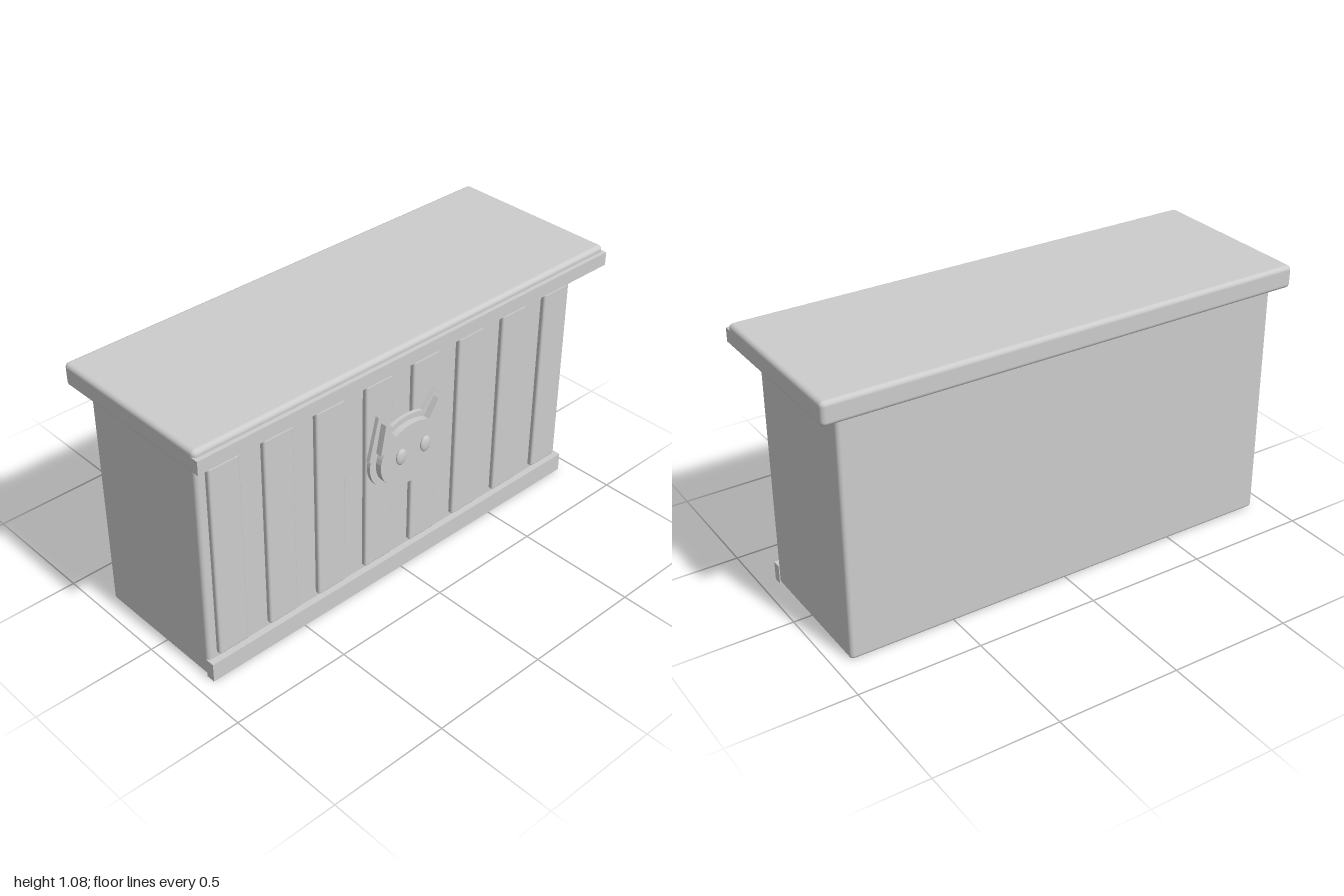
import * as THREE from 'three';
import { RoundedBoxGeometry } from 'three/addons/geometries/RoundedBoxGeometry.js';

export function createModel() {
  const group = new THREE.Group();
  const plainGrey = new THREE.MeshStandardMaterial({ color: 0xcccccc });
  plainGrey.name = 'plainGrey';

  const add = (name, geometry, x = 0, y = 0, z = 0) => {
    const mesh = new THREE.Mesh(geometry, plainGrey);
    mesh.name = name;
    mesh.position.set(x, y, z);
    group.add(mesh);
    return mesh;
  };

  // Box given by its y and z ranges; a radius rounds its edges
  const block = (name, x, width, y0, y1, z0, z1, radius = 0) => {
    const size = [width, y1 - y0, z1 - z0];
    const geometry = radius
      ? new RoundedBoxGeometry(...size, 4, radius)
      : new THREE.BoxGeometry(...size);
    return add(name, geometry, x, (y0 + y1) / 2, (z0 + z1) / 2);
  };

  // Counter body, worktop and straight trims
  block('counterBody', 0, 1.865, 0.002, 0.995, -0.325, 0.26, 0.016);
  block('worktop', 0, 2, 0.988, 1.08, -0.365, 0.352, 0.018);
  block('worktopTrim', 0, 2, 1.0, 1.055, 0.33, 0.369);
  block('baseTrim', 0, 1.87, 0, 0.08, 0.25, 0.287);

  // Eight raised slats across the front
  for (let i = 0; i < 8; i++) {
    block('frontSlat', (i - 3.5) * 0.2364, 0.133, 0.097, 0.921, 0.245, 0.28, 0.009);
  }

  // Cat head outline: an oval with an ear on each side
  const catPlate = (name, rx, ry, earLow, earTip, earTop, z, depth) => {
    const cy = 0.575;
    const onOval = (a) => new THREE.Vector2(rx * Math.cos(a), cy + ry * Math.sin(a));
    const mirror = ([x, y]) => new THREE.Vector2(-x, y);
    const low = Math.asin((earLow[1] - cy) / ry);
    const top = Math.acos(earTop[0] / rx);
    const points = [];
    // Crown between the ears
    for (let i = 0; i <= 8; i++) points.push(onOval(top + (Math.PI - 2 * top) * i / 8));
    points.push(mirror(earTip), mirror(earLow));
    // Cheeks and chin
    for (let i = 0; i <= 24; i++) points.push(onOval(Math.PI - low + (Math.PI + 2 * low) * i / 24));
    points.push(new THREE.Vector2(...earLow), new THREE.Vector2(...earTip));
    const geometry = new THREE.ExtrudeGeometry(new THREE.Shape(points), { depth, bevelEnabled: false });
    add(name, geometry, 0, 0, z);
  };
  catPlate('catBackPlate', 0.188, 0.152, [0.191, 0.605], [0.146, 0.784], [0.078, 0.715], 0.287, 0.016);
  catPlate('catFace', 0.158, 0.13, [0.157, 0.633], [0.134, 0.756], [0.085, 0.69], 0.302, 0.027);

  // Oval eyes
  for (const side of [-1, 1]) {
    const eye = add('catEye', new THREE.SphereGeometry(1, 24, 16), side * 0.062, 0.589, 0.337);
    eye.scale.set(0.025, 0.034, 0.01);
  }

  return group;
}
